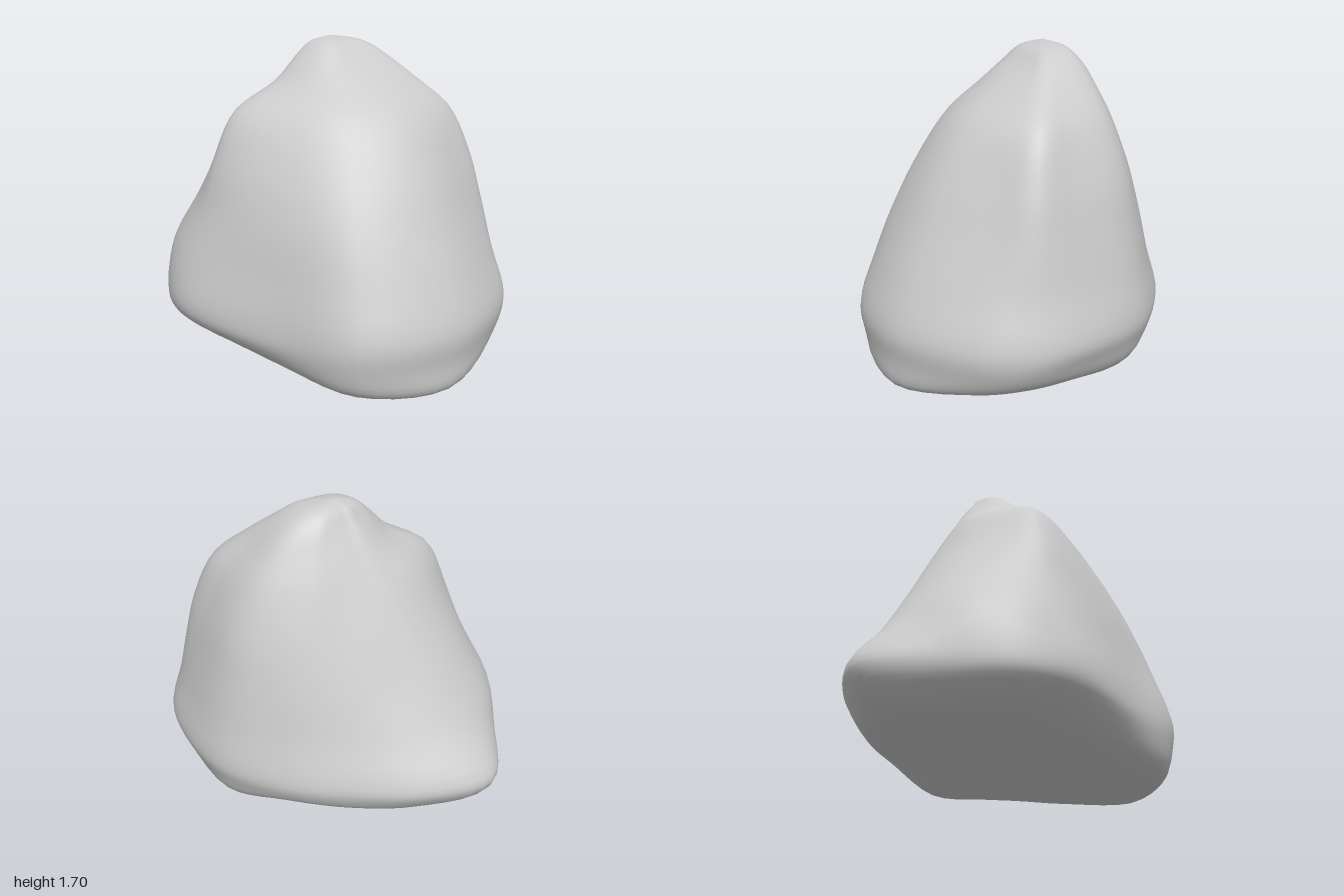
import * as THREE from 'three';
import { mergeVertices } from 'three/addons/utils/BufferGeometryUtils.js';

// Directions of the profiles in degrees, from +x round towards +z
const ANGLES = [0, 30, 45, 60, 90, 120, 150, 190, 208, 230, 253, 275, 300, 330];
// Level heights, and the radius in each direction at each level
const HEIGHTS = [0.01, 0.06, 0.2, 0.36, 0.6, 0.85, 1.1, 1.35, 1.5, 1.62];
const RADII = [
  [0.64, 0.70, 0.76, 0.78, 0.88, 0.78, 0.56, 0.54, 0.62, 0.68, 0.74, 0.64, 0.56, 0.54],
  [0.75, 0.82, 0.88, 0.91, 0.96, 0.88, 0.68, 0.68, 0.76, 0.80, 0.88, 0.76, 0.67, 0.66],
  [0.79, 0.88, 0.95, 0.97, 0.98, 0.93, 0.75, 0.82, 0.88, 0.90, 1.00, 0.84, 0.72, 0.71],
  [0.81, 0.91, 0.97, 0.99, 1.00, 0.95, 0.76, 0.85, 0.90, 0.92, 1.025, 0.87, 0.73, 0.72],
  [0.755, 0.84, 0.90, 0.91, 0.93, 0.88, 0.73, 0.80, 0.86, 0.87, 0.83, 0.72, 0.63, 0.65],
  [0.69, 0.77, 0.84, 0.82, 0.83, 0.79, 0.69, 0.73, 0.74, 0.72, 0.66, 0.57, 0.53, 0.58],
  [0.62, 0.69, 0.77, 0.73, 0.72, 0.67, 0.61, 0.67, 0.62, 0.56, 0.50, 0.44, 0.42, 0.49],
  [0.50, 0.57, 0.65, 0.61, 0.56, 0.51, 0.48, 0.56, 0.48, 0.40, 0.34, 0.30, 0.30, 0.37],
  [0.39, 0.43, 0.47, 0.43, 0.37, 0.34, 0.32, 0.32, 0.28, 0.25, 0.23, 0.21, 0.22, 0.28],
  [0.28, 0.30, 0.30, 0.25, 0.20, 0.20, 0.20, 0.20, 0.18, 0.15, 0.14, 0.125, 0.14, 0.20],
];
const ROWS = 56, COLS = 70, TOP = 1.72;

// Height of the uneven underside: low at the front, rising to the back and sides, with a foot on the left
function underside(x, z) {
  const foot = 0.1 * Math.exp(-((x - 0.62) ** 2 + (z - 0.1) ** 2) / 0.05);
  const slope = 0.13 * Math.max(0, -x - 0.2) + 0.1 * Math.max(0, x + 0.2) + 0.07 * Math.max(0, -z) - 0.075 * Math.max(0, z);
  return Math.max(0, 0.06 + slope - foot);
}

// Point on the rock, whose axis leans slightly
function rockPoint(y, r, degrees) {
  const angle = THREE.MathUtils.degToRad(degrees);
  const x = r * Math.cos(angle) + 0.06 * y / TOP;
  const z = r * Math.sin(angle) - 0.06 * y / TOP;
  return new THREE.Vector3(x, y + underside(x, z) * Math.max(0, 1 - y / 0.36), z);
}

function rockGeometry() {
  // Smooth profiles from the middle of the underside up to the peak
  const profiles = ANGLES.map((angle, s) => {
    const points = HEIGHTS.map((y, level) => rockPoint(y, RADII[level][s], angle));
    points.unshift(rockPoint(0, 0, angle), rockPoint(0.002, RADII[0][s] * 0.55, angle));
    points.push(rockPoint(1.69, RADII.at(-1)[s] * 0.6, angle), rockPoint(TOP, 0, angle));
    return new THREE.CatmullRomCurve3(points);
  });

  // Closed smooth loops across the profiles
  const positions = [], index = [];
  for (let i = 0; i <= ROWS; i++) {
    const loop = new THREE.CatmullRomCurve3(profiles.map(p => p.getPoint(i / ROWS)), true);
    for (let j = 0; j < COLS; j++) {
      positions.push(...loop.getPoint(j / COLS).toArray());
      if (i === ROWS) continue;
      const a = i * COLS + j, b = i * COLS + (j + 1) % COLS;
      if (i > 0) index.push(a, a + COLS, b);
      if (i < ROWS - 1) index.push(b, a + COLS, b + COLS);
    }
  }
  const geometry = new THREE.BufferGeometry();
  geometry.setAttribute('position', new THREE.Float32BufferAttribute(positions, 3));
  geometry.setIndex(index);
  const merged = mergeVertices(geometry, 1e-4);
  merged.computeVertexNormals();
  return merged;
}

export function createModel() {
  const group = new THREE.Group();
  group.name = 'boulder';
  const rock = new THREE.Mesh(rockGeometry(), new THREE.MeshStandardMaterial({ color: 0xcccccc }));
  rock.name = 'rock';
  group.add(rock);
  return group;
}
